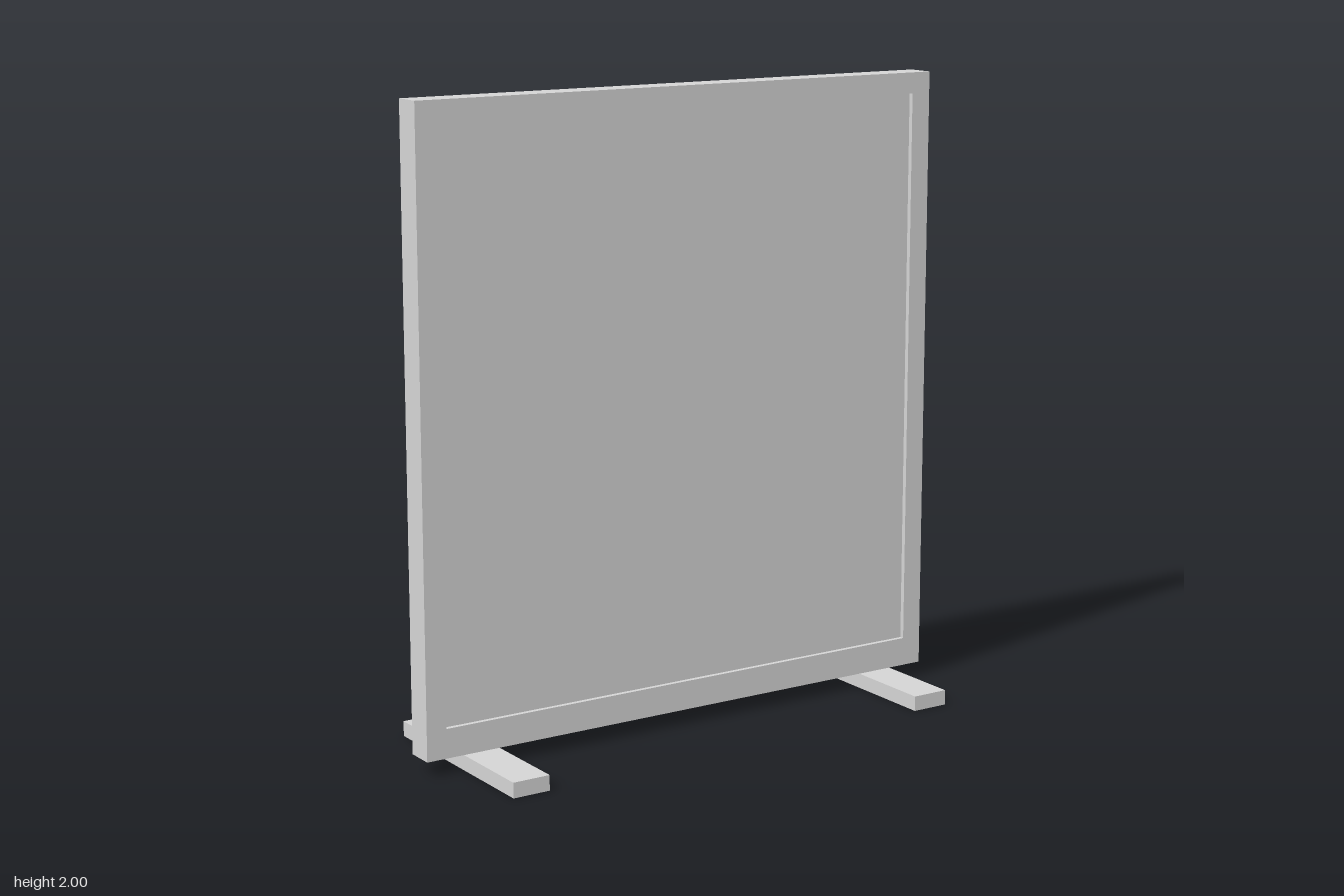
import * as THREE from 'three';

export function createModel() {
  const model = new THREE.Group();
  const lightGrey = new THREE.MeshStandardMaterial({ color: 0xd4d4d4 });
  lightGrey.name = 'lightGrey';

  const add = (name, geometry, x, y, z) => {
    const mesh = new THREE.Mesh(geometry, lightGrey);
    mesh.name = name;
    mesh.position.set(x, y, z);
    model.add(mesh);
  };

  const rectangle = (path, x, bottom, top) => path
    .moveTo(-x, bottom).lineTo(x, bottom).lineTo(x, top).lineTo(-x, top).closePath();

  // Rectangular frame with a deeper bottom rail
  const depth = 0.092;
  const outline = new THREE.Shape();
  rectangle(outline, 0.923, 0.048, 2);
  const opening = new THREE.Path();
  rectangle(opening, 0.856, 0.14, 1.933);
  outline.holes.push(opening);
  add('frame', new THREE.ExtrudeGeometry(outline, { depth, bevelEnabled: false }), 0, 0, -depth / 2);

  // Infill panel, slightly recessed on both sides
  add('panel', new THREE.BoxGeometry(1.712, 1.793, 0.062), 0, 1.0365, 0);

  // Flat feet running front to back
  for (const [side, name] of [[1, 'leftFoot'], [-1, 'rightFoot']]) {
    add(name, new THREE.BoxGeometry(0.122, 0.048, 0.678), side * 0.738, 0.024, 0);
  }

  return model;
}
